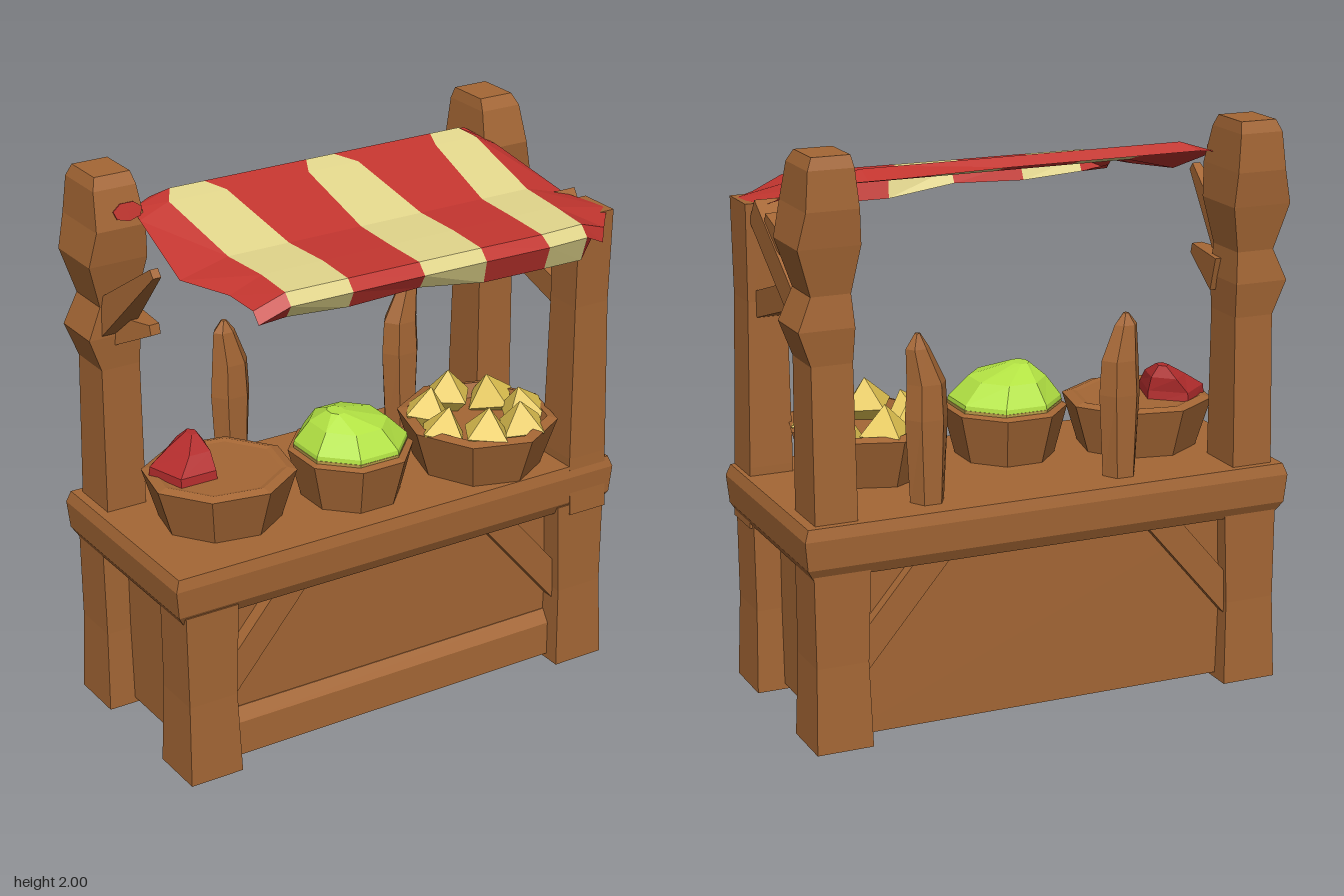
import * as THREE from 'three';

const mat = (name, color, extra = {}) => {
  const m = new THREE.MeshStandardMaterial({ color, ...extra });
  m.name = name;
  return m;
};

export function createModel() {
  const model = new THREE.Group();
  model.name = 'marketStall';
  const wood = mat('wood', 0xa56735);
  const red = mat('red cloth', 0xc2352f, { side: THREE.DoubleSide });
  const cream = mat('cream cloth', 0xe0d48a, { side: THREE.DoubleSide });
  const green = mat('green fruit', 0xb4e444);
  const yellow = mat('yellow fruit', 0xe2c451);
  const redFruit = mat('red fruit', 0xb22c2c);
  const rind = mat('tan rind', 0xc9a850);

  // Adds a faceted mesh
  const add = (name, geometry, material, parent = model) => {
    const g = geometry.index ? geometry.toNonIndexed() : geometry;
    g.computeVertexNormals();
    const mesh = new THREE.Mesh(g, material);
    mesh.name = name;
    parent.add(mesh);
    return mesh;
  };

  // Upright form through sections [y, centreX, centreZ, halfX, halfZ]
  const loft = (sections, sides = 4) => {
    const r = sides === 4 ? Math.SQRT2 : 1;
    const k = sections.length - 1;
    const g = new THREE.CylinderGeometry(r, r, 1, sides, k, false, Math.PI / sides);
    const p = g.attributes.position;
    for (let i = 0; i < p.count; i++) {
      const [y, cx, cz, hx, hz] = sections[Math.round((p.getY(i) + 0.5) * k)];
      p.setXYZ(i, cx + p.getX(i) * hx, y, cz + p.getZ(i) * hz);
    }
    return g;
  };

  // Straight timber from a to b, tapering to endScale at b
  const beam = (name, a, b, w, h, endScale = 1) => {
    const A = new THREE.Vector3(...a), B = new THREE.Vector3(...b);
    const g = new THREE.BoxGeometry(w, h, A.distanceTo(B));
    const p = g.attributes.position;
    for (let i = 0; i < p.count; i++) {
      if (p.getZ(i) > 0) p.setXY(i, p.getX(i) * endScale, p.getY(i) * endScale);
    }
    const o = new THREE.Object3D();
    o.position.copy(A).lerp(B, 0.5);
    o.lookAt(B);
    o.updateMatrix();
    return add(name, g.applyMatrix4(o.matrix), wood);
  };
  const box = (name, x0, x1, y0, y1, z0, z1) => add(name,
    new THREE.BoxGeometry(x1 - x0, y1 - y0, z1 - z0)
      .translate((x0 + x1) / 2, (y0 + y1) / 2, (z0 + z1) / 2), wood);

  // Counter body, slab and sloping front skirting
  box('counterBody', -0.765, 0.765, 0.02, 0.64, -0.405, 0.23);
  add('counterTop', loft([
    [0.61, 0, -0.08, 0.86, 0.375], [0.65, 0, -0.08, 0.885, 0.395],
    [0.75, 0, -0.08, 0.895, 0.4], [0.79, 0, -0.08, 0.88, 0.39],
  ]), wood);
  add('frontSkirting', loft([
    [0.02, 0, 0.225, 0.7, 0.045], [0.145, 0, 0.225, 0.7, 0.04], [0.19, 0, 0.215, 0.7, 0.018],
  ]), wood);

  for (const s of [-1, 1]) {
    // Legs, corner braces and side rails
    for (const [name, z] of [['frontLeg', 0.225], ['backLeg', -0.37]]) {
      add(name, loft([
        [0, s * 0.765, z, 0.1, 0.105], [0.3, s * 0.765, z, 0.092, 0.092],
        [0.64, s * 0.76, z, 0.1, 0.09],
      ]), wood);
    }
    for (const [name, z] of [['frontBrace', 0.245], ['backBrace', -0.41]]) {
      beam(name, [s * 0.72, 0.28, z], [s * 0.4, 0.655, z], 0.07, 0.1);
    }
    box('sideRail', s * 0.79 - 0.03, s * 0.79 + 0.03, 0.58, 0.64, -0.35, 0.2);

    // Tall back post with a carved, knotted head
    const x = s * 0.772;
    add('backPost', loft([
      [0.76, x, -0.35, 0.075, 0.095], [1.32, x, -0.342, 0.072, 0.085],
      [1.44, x + s * 0.02, -0.345, 0.097, 0.095], [1.55, x, -0.342, 0.069, 0.085],
      [1.71, x + s * 0.01, -0.337, 0.108, 0.112], [1.83, x, -0.337, 0.091, 0.123],
      [1.96, x, -0.35, 0.079, 0.1], [2.0, x - s * 0.005, -0.355, 0.066, 0.08],
    ]), wood);
  }

  // Single front post with its side braces
  add('frontPost', loft([
    [0.6, 0.79, 0.235, 0.078, 0.085], [0.82, 0.785, 0.23, 0.078, 0.082],
    [1.4, 0.78, 0.235, 0.07, 0.072], [1.74, 0.78, 0.235, 0.073, 0.08],
  ]), wood);
  beam('upperSideBrace', [0.79, 1.72, 0.14], [0.79, 1.44, -0.28], 0.09, 0.1);
  beam('lowerSideBrace', [0.78, 1.38, 0.2], [0.78, 1.53, -0.28], 0.08, 0.09);
  beam('topSideBrace', [0.8, 1.7, 0.03], [0.8, 1.61, -0.28], 0.06, 0.07);

  // Snapped braces on the other side
  beam('brokenUpperBrace', [-0.785, 1.47, -0.32], [-0.785, 1.76, 0.04], 0.12, 0.13, 0.25);
  beam('brokenLowerBrace', [-0.74, 1.45, -0.3], [-0.72, 1.5, -0.1], 0.13, 0.12, 0.3);

  // Broken stakes along the back of the counter
  for (const [x, top, lean] of [[-0.305, 1.36, -0.02], [0.41, 1.37, 0.03]]) {
    add('backStake', loft([
      [0.77, x, -0.34, 0.06, 0.06], [1.08, x, -0.34, 0.077, 0.062],
      [1.2, x, -0.34, 0.07, 0.055], [1.32, x + lean, -0.34, 0.042, 0.032],
      [top, x + lean, -0.34, 0.01, 0.01],
    ], 6), wood);
  }

  // Baskets: centre x, z, radii, turn, height of the filling
  const baskets = [
    [-0.53, -0.03, 0.27, 0.26, 0.2, 0.185],
    [-0.05, 0.05, 0.22, 0.23, 0.4, 0.14],
    [0.47, 0.07, 0.28, 0.3, 0.1, 0.14],
  ];
  for (const [x, z, rx, rz, turn, fill] of baskets) {
    const profile = [[0, 0], [0.79, 0], [1, 0.18], [0.87, 0.19], [0.8, fill], [0, fill]]
      .map(([r, y]) => new THREE.Vector2(r, y));
    add('basket', new THREE.LatheGeometry(profile, 8).rotateY(turn)
      .scale(rx, 1, rz).translate(x, 0.785, z), wood);
  }

  // Produce
  add('melonRind', loft([
    [0.92, -0.05, 0.05, 0.19, 0.19], [0.985, -0.05, 0.05, 0.202, 0.205],
  ], 8), rind);
  add('greenMelon', loft([
    [0.98, -0.05, 0.05, 0.201, 0.204], [1.0, -0.05, 0.05, 0.198, 0.2],
    [1.07, -0.06, 0.05, 0.135, 0.145], [1.115, -0.11, 0.05, 0.03, 0.04],
  ], 8), green);
  add('redApple', loft([
    [0.95, -0.645, -0.07, 0.12, 0.14], [1.0, -0.645, -0.07, 0.115, 0.13],
    [1.05, -0.61, -0.09, 0.07, 0.09], [1.09, -0.59, -0.11, 0.02, 0.03],
  ], 5), redFruit);
  for (let i = 0; i < 7; i++) {
    const a = i / 7 * Math.PI * 2 + 0.2;
    add('yellowFruit', new THREE.OctahedronGeometry(0.1, 0).rotateY(a * 1.7).rotateZ(0.25 * Math.cos(a))
      .translate(0.47 + 0.18 * Math.cos(a), 0.95 + 0.01 * (i % 3), 0.07 + 0.18 * Math.sin(a)), yellow);
  }

  // Awning rows, back to front: z, y, then x of each stripe edge
  const rows = [
    [-0.3, 1.885, -0.62, -0.55, -0.42, -0.03, 0.08, 0.48, 0.6, 0.67],
    [-0.265, 1.915, -0.7, -0.56, -0.43, -0.03, 0.08, 0.48, 0.6, 0.69],
    [-0.2, 1.895, -0.71, -0.6, -0.38, -0.06, 0.14, 0.46, 0.63, 0.72],
    [0.1, 1.79, -0.73, -0.55, -0.32, -0.04, 0.2, 0.45, 0.64, 0.8],
    [0.28, 1.782, -0.65, -0.53, -0.3, -0.04, 0.21, 0.45, 0.63, 0.85],
    [0.44, 1.772, -0.64, -0.53, -0.3, -0.03, 0.21, 0.45, 0.62, 0.74],
    [0.475, 1.735, -0.64, -0.53, -0.3, -0.03, 0.21, 0.46, 0.62, 0.71],
    [0.445, 1.665, -0.63, -0.53, -0.3, -0.03, 0.22, 0.46, 0.62, 0.69],
  ];
  const hem = [0.045, 0.025, 0.01, 0.02, -0.015, -0.015, -0.02, 0.045];
  const frontSkew = [-0.03, -0.015, -0.01, -0.005, 0, 0.008, 0, -0.03];
  const last = rows.length - 1;
  const corner = (i, j) => {
    const [z, y, ...xs] = rows[i];
    const droop = (j === 0 || j === 7) && i > 0 && i < last ? -0.045 : 0;
    const skew = i > 4 ? frontSkew[j] : i === 0 && j > 4 ? -0.03 : 0;
    return [xs[j], y + droop + (i === last ? hem[j] : 0), z + skew];
  };
  const awning = new THREE.Group();
  awning.name = 'awning';
  model.add(awning);
  const cloth = { red: [], cream: [] };
  for (let i = 0; i < last; i++) {
    for (let j = 0; j < 7; j++) {
      const a = corner(i, j), b = corner(i + 1, j), c = corner(i + 1, j + 1), d = corner(i, j + 1);
      cloth[i > 0 && j % 2 ? 'cream' : 'red'].push(...a, ...b, ...c, ...a, ...c, ...d);
    }
  }
  for (const [name, points, material] of [['redStripes', cloth.red, red], ['creamStripes', cloth.cream, cream]]) {
    const g = new THREE.BufferGeometry();
    g.setAttribute('position', new THREE.Float32BufferAttribute(points, 3));
    add(name, g, material, awning);
  }
  // Red patch on the post face
  add('postPatch', new THREE.CylinderGeometry(0.05, 0.05, 0.008, 7).rotateX(Math.PI / 2).scale(1.1, 0.65, 1)
    .rotateX(-0.26).translate(-0.74, 1.88, -0.226), red, awning);

  return model;
}
